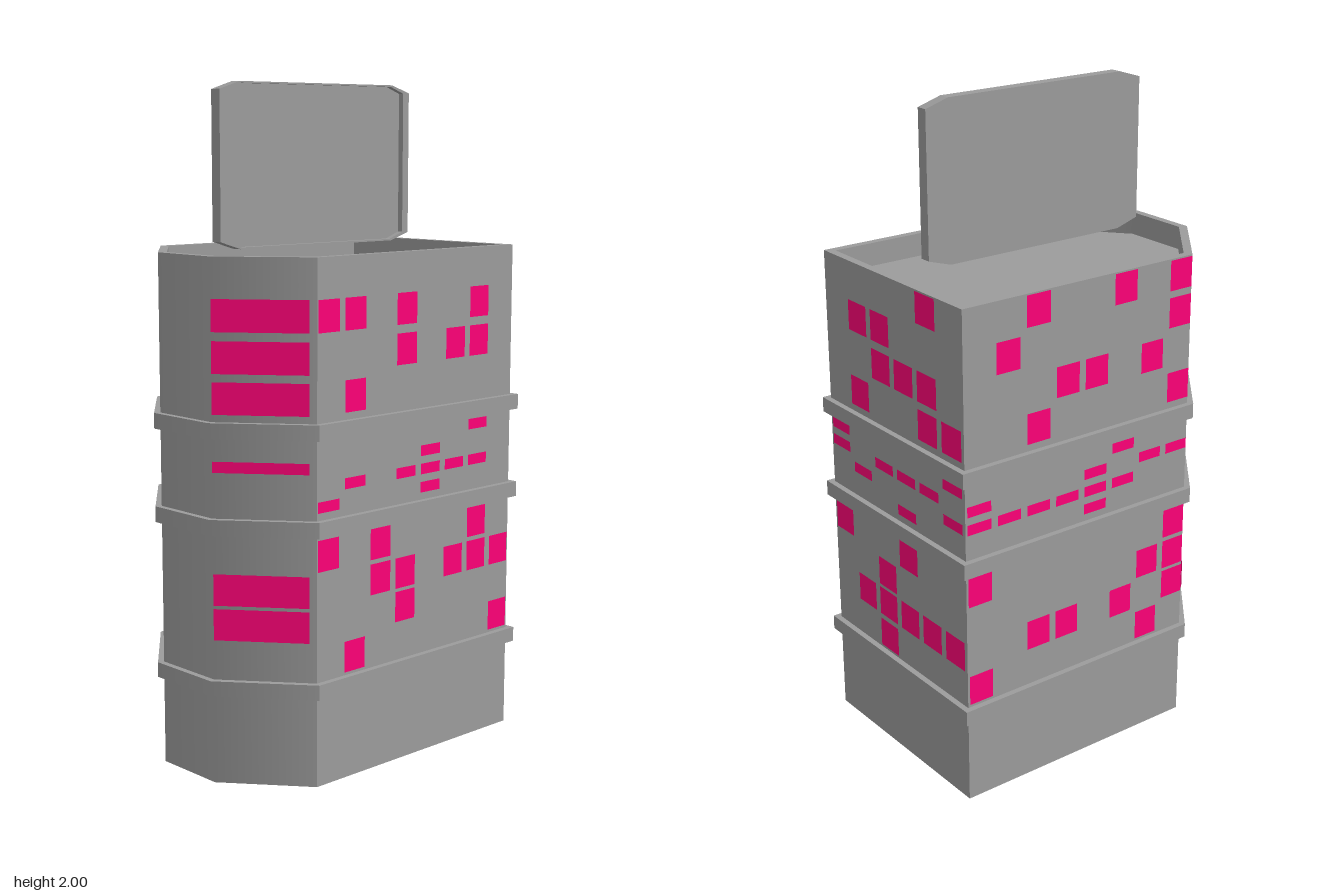
import * as THREE from 'three';

const grey = new THREE.MeshStandardMaterial({ color: 0x9c9c9c });
const pink = new THREE.MeshStandardMaterial({ color: 0xff0078, side: THREE.DoubleSide });

// Six-sided floor plan with two cut corners on the -x end, grown outwards by d
function outline(d) {
  const x = 0.505 + d, z = 0.345 + d, cx = -0.315 - 0.47 * d, cz = 0.115 + 0.36 * d;
  return [[cx, -z], [x, -z], [x, z], [cx, z], [-x, cz], [-x, -cz]]
    .map(([a, b]) => new THREE.Vector2(a, b));
}

// Vertical prism of the floor plan; with inner set it is a hollow wall
function prism(name, y0, y1, d, inner) {
  const shape = new THREE.Shape(outline(d));
  if (inner !== undefined) shape.holes.push(new THREE.Path(outline(inner)));
  const geo = new THREE.ExtrudeGeometry(shape, { depth: y1 - y0, bevelEnabled: false });
  geo.rotateX(-Math.PI / 2);
  geo.translate(0, y0, 0);
  // Smooth the two soft edges of the -x end; all other edges stay sharp
  const { position, normal } = geo.attributes;
  for (let i = 0; i < position.count; i++) {
    if (position.getX(i) > -0.4 || Math.abs(normal.getY(i)) > 0.5) continue;
    const out = -Math.sign(normal.getX(i));
    normal.setXYZ(i, -0.941 * out, 0, 0.339 * out * Math.sign(position.getZ(i)));
  }
  const mesh = new THREE.Mesh(geo, grey);
  mesh.name = name;
  return mesh;
}

// Rectangle with shallow cut corners for the roof sign
function signShape(w, y0, y1, cutX, cutY) {
  return [[-w + cutX, y0], [w - cutX, y0], [w, y0 + cutY], [w, y1 - cutY],
    [w - cutX, y1], [-w + cutX, y1], [-w, y1 - cutY], [-w, y0 + cutY]]
    .map(([a, b]) => new THREE.Vector2(a, b));
}

function signPart(name, shape, z0, z1) {
  const geo = new THREE.ExtrudeGeometry(shape, { depth: z1 - z0, bevelEnabled: false });
  geo.translate(0, 0, z0);
  const mesh = new THREE.Mesh(geo, grey);
  mesh.name = name;
  return mesh;
}

// Window rows from top to bottom: four tall, four slim, four tall
const ROWS = [1.47, 1.357, 1.24, 1.125, 0.985, 0.93, 0.875, 0.82, 0.68, 0.575, 0.473, 0.365];

// Lit columns for each row
const FRONT = ['', '0136', '356', '1', '6', '4', '13456', '04', '026', '23567', '3', '17'];
const BACK = ['520', '60', '431', '50', '2', '7310', '765432', '3', '70', '10', '5420', '71'];
const SIDE = ['4', '12', '234', '145', '05', '0234', '15', '3', '03', '2', '12345', '2'];
const CUT = ['', '0', '0', '0', '', '0', '', '', '', '0', '0', ''];
const BACK_CUT = ['', '', '', '', '', '', '', '', '', '', '0', ''];

// Places one face of windows; at(column) gives the [x, z] of a window centre
function windows(name, rows, width, angle, at) {
  const group = new THREE.Group();
  group.name = name;
  rows.forEach((cols, r) => {
    const height = r > 3 && r < 8 ? 0.032 : 0.092;
    for (const c of cols) {
      const pane = new THREE.Mesh(new THREE.PlaneGeometry(width, height), pink);
      const [x, z] = at(Number(c));
      pane.position.set(x, ROWS[r], z);
      pane.rotation.y = angle;
      pane.name = 'window';
      group.add(pane);
    }
  });
  return group;
}

export function createModel() {
  const model = new THREE.Group();
  model.name = 'building';

  // Thin hollow shell open at the bottom, sunken roof and parapet
  model.add(prism('walls', 0, 1.45, 0, -0.003));
  model.add(prism('roof', 1.445, 1.45, -0.002));
  model.add(prism('parapet', 1.45, 1.52, 0, -0.025));

  // Ledges, standing out on both sides of the wall
  for (const [y0, y1] of [[0.265, 0.31], [0.735, 0.782], [1.012, 1.058]]) {
    model.add(prism('ledge', y0, y1, 0.018, -0.018));
  }

  // Windows
  const gap = 0.002;
  const colX = (c) => -0.272 + 0.1043 * c;
  model.add(windows('frontWindows', FRONT, 0.082, 0, (c) => [colX(c), 0.345 + gap]));
  model.add(windows('backWindows', BACK, 0.082, Math.PI, (c) => [colX(c), -0.345 - gap]));
  model.add(windows('sideWindows', SIDE, 0.093, Math.PI / 2, (c) => [0.505 + gap, 0.289 - 0.1155 * c]));
  const cutAngle = -Math.atan2(0.23, 0.19);
  model.add(windows('cornerWindows', CUT, 0.275, cutAngle, () => [-0.4165 - gap, 0.222 + gap]));
  model.add(windows('backCornerWindow', BACK_CUT, 0.04, Math.PI - cutAngle, () => [-0.33 - gap, -0.327 - gap]));

  // Roof sign: flat back panel and a raised frame on the front
  const sign = new THREE.Group();
  sign.name = 'roofSign';
  const edge = signShape(0.383, 1.526, 2, 0.075, 0.023);
  const frame = new THREE.Shape(edge);
  frame.holes.push(new THREE.Path(signShape(0.358, 1.531, 1.995, 0.055, 0.02)));
  sign.add(signPart('signPanel', new THREE.Shape(edge), -0.018, 0));
  sign.add(signPart('signFrame', frame, 0, 0.018));
  model.add(sign);

  return model;
}
